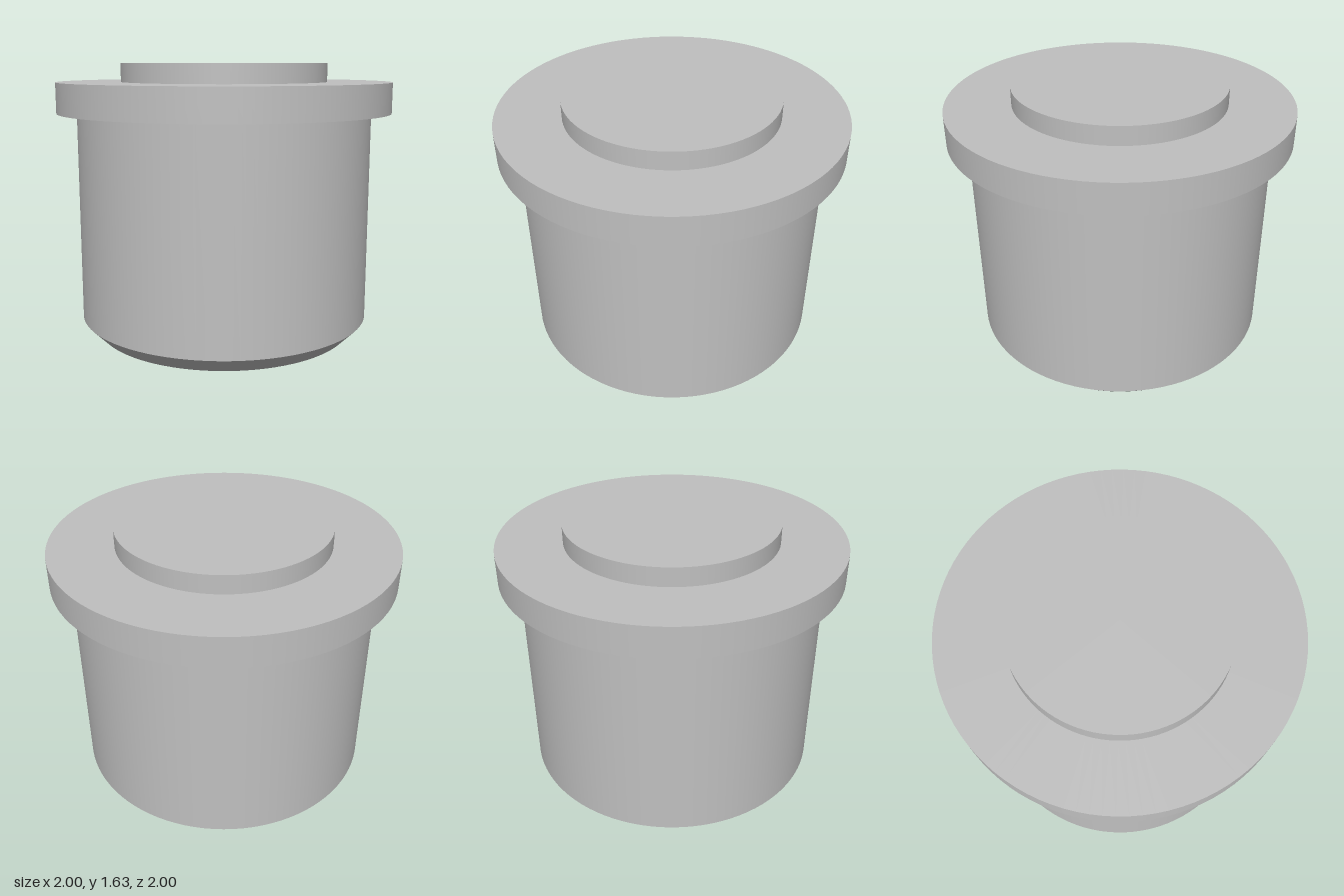
import * as THREE from 'three';

const SEG = 96;

export function createModel() {
  const model = new THREE.Group();
  const grey = new THREE.MeshStandardMaterial({ color: 0xc0c0c0 });
  grey.name = 'plain grey';

  const add = (name, geometry, parent = model) => {
    const mesh = new THREE.Mesh(geometry, grey);
    mesh.name = name;
    parent.add(mesh);
    return mesh;
  };
  // One straight profile segment swept round y, so the edges between parts stay sharp
  const band = (name, r0, y0, r1, y1, seg = SEG, parent = model) =>
    add(name, new THREE.LatheGeometry([new THREE.Vector2(r0, y0), new THREE.Vector2(r1, y1)], seg), parent);

  // Body, flange and raised cap
  band('bottomChamfer', 0.79, 0, 0.883, 0.095);
  band('bodyWall', 0.883, 0.095, 0.883, 1.34);
  band('flangeUnderside', 0.883, 1.34, 1, 1.34);
  band('flangeRim', 1, 1.34, 1, 1.52);
  band('flangeTop', 1, 1.52, 0.62, 1.52);
  band('capWall', 0.62, 1.52, 0.62, 1.63);
  const capTop = add('capTop', new THREE.CircleGeometry(0.62, SEG).rotateX(-Math.PI / 2));
  capTop.position.y = 1.63;

  // Base with a row of four shallow blind holes
  const holeR = 0.098, holeDepth = 0.07;
  const base = new THREE.Shape().absarc(0, 0, 0.79, 0, Math.PI * 2, false);
  for (let i = 0; i < 4; i++) {
    const z = (i - 1.5) * 0.308;
    base.holes.push(new THREE.Path().absarc(0, z, holeR, 0, Math.PI * 2, true));
    const hole = new THREE.Group();
    hole.name = 'blindHole' + (i + 1);
    hole.position.z = z;
    band('holeWall', holeR, holeDepth, holeR, 0, 48, hole);
    add('holeEnd', new THREE.CircleGeometry(holeR, 48).rotateX(Math.PI / 2), hole).position.y = holeDepth;
    model.add(hole);
  }
  add('baseFace', new THREE.ShapeGeometry(base, 48).rotateX(Math.PI / 2));

  return model;
}
